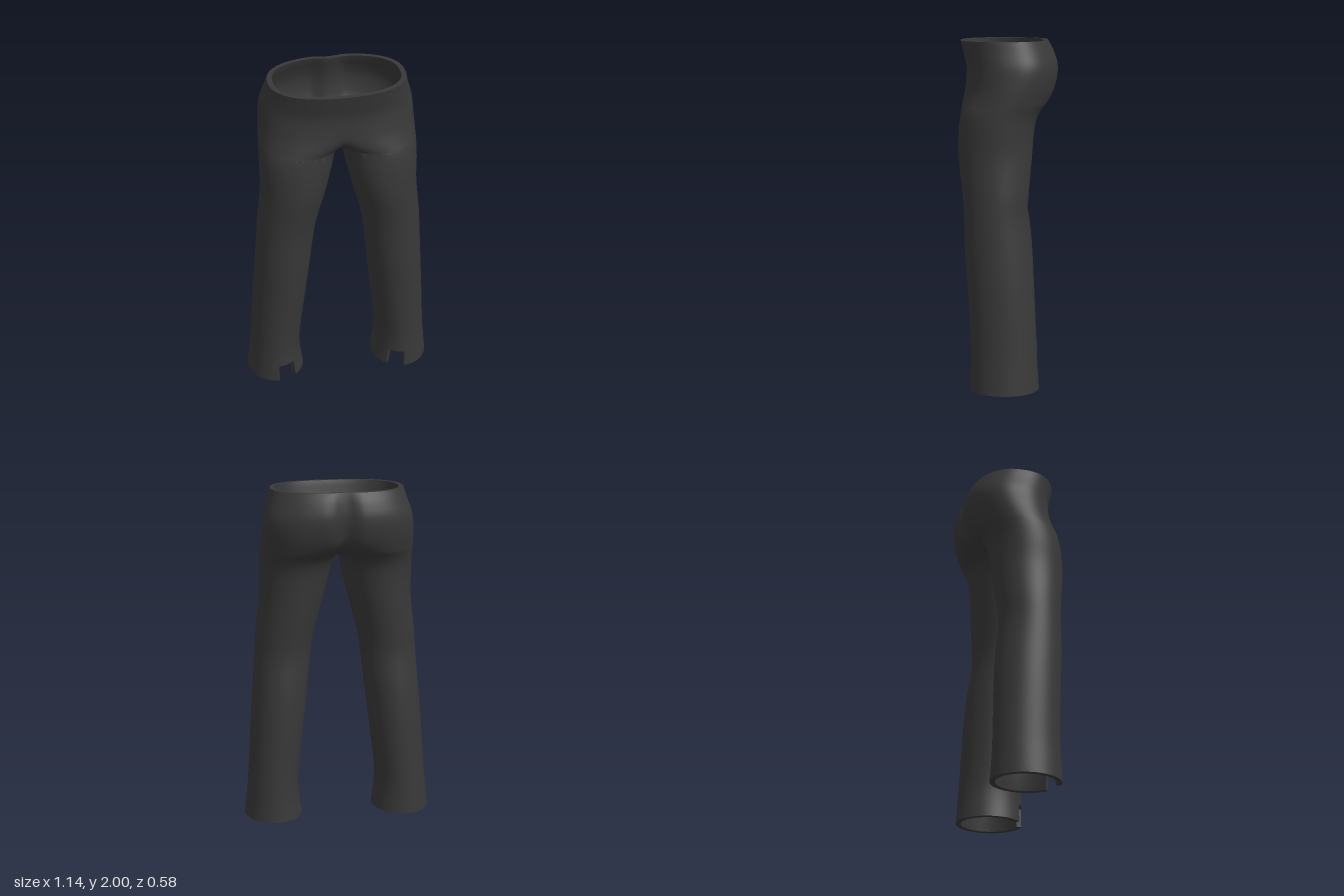
import * as THREE from 'three';
import { mergeVertices, toCreasedNormals } from 'three/addons/utils/BufferGeometryUtils.js';

const CROTCH = 1.61, COLS = 48, THICK = 0.03;

// height, outer x, inner x, front z, back z, depth of the rear centre cleft
// (a negative inner x means both sides have joined over the centre line)
const PROFILE = [
  [0.00, 0.572, 0.222, 0.220, -0.180, 0],
  [0.11, 0.560, 0.238, 0.218, -0.172, 0],
  [0.22, 0.549, 0.243, 0.215, -0.166, 0],
  [0.60, 0.523, 0.200, 0.235, -0.150, 0],
  [0.80, 0.507, 0.177, 0.250, -0.135, 0],
  [1.00, 0.492, 0.155, 0.255, -0.110, 0],
  [1.12, 0.483, 0.135, 0.262, -0.117, 0],
  [1.35, 0.458, 0.074, 0.288, -0.137, 0],
  [1.50, 0.458, 0.037, 0.286, -0.150, 0],
  [1.58, 0.456, 0.018, 0.276, -0.170, 0],
  [1.61, 0.455, 0.000, 0.272, -0.190, 0],
  [1.65, 0.453, -0.090, 0.266, -0.225, 0.015],
  [1.74, 0.447, -0.290, 0.252, -0.272, 0.040],
  [1.85, 0.434, -0.434, 0.248, -0.291, 0.048],
  [1.94, 0.406, -0.406, 0.268, -0.268, 0.035],
  [2.00, 0.390, -0.390, 0.283, -0.237, 0.018],
];

// smooth interpolation through the profile rows
function sample(y) {
  const P = PROFILE, last = P.length - 1;
  let i = 0;
  while (i < last - 1 && y > P[i + 1][0]) i++;
  const slope = (k, c) => {
    const a = P[Math.max(k - 1, 0)], b = P[Math.min(k + 1, last)];
    return (b[c] - a[c]) / (b[0] - a[0]);
  };
  const h = P[i + 1][0] - P[i][0], u = (y - P[i][0]) / h;
  return [1, 2, 3, 4, 5].map((c) =>
    (2 * u ** 3 - 3 * u * u + 1) * P[i][c] + (u ** 3 - 2 * u * u + u) * h * slope(i, c) +
    (3 * u * u - 2 * u ** 3) * P[i + 1][c] + (u ** 3 - u * u) * h * slope(i + 1, c));
}

// one half of the cross-section: from the inner seam over the front, outside and back
function section(y) {
  let [xo, xi, zf, zb, cleft] = sample(y);
  xi = y < CROTCH - 1e-6 ? xi : Math.max(Math.min(xi, 0), -xo);
  const cx = (xo + xi) / 2, rx = (xo - xi) / 2;
  const cz = (zf + zb) / 2, rz = (zf - zb) / 2;
  const n = 2 + 0.4 * THREE.MathUtils.smoothstep(y, CROTCH, 1.85);
  const pow = (v) => Math.sign(v) * Math.abs(v) ** (2 / n);
  const above = y > CROTCH + 1e-6;
  const t0 = above ? Math.acos(-Math.min(1, (cx / rx) ** (n / 2))) : Math.PI;
  const pts = [];
  for (let j = 0; j <= COLS; j++) {
    const t = t0 * (1 - 2 * j / COLS);
    let x = cx + rx * pow(Math.cos(t));
    let z = cz + rz * pow(Math.sin(t));
    const seam = j === 0 || j === COLS;
    if (seam) x = above ? 0 : xi;
    if (seam && !above) z = cz;
    if (above && z < cz) z += cleft * Math.exp(-((x / 0.055) ** 2));
    pts.push([x, y, z]);
  }
  return pts;
}

// outer cloth surface, mirrored, with a notch cut into each front hem
function outerSurface() {
  const heights = [0, 0.04, 0.08, 0.11];
  for (let i = 1; i <= 36; i++) heights.push(0.11 + (CROTCH - 0.11) * i / 36);
  for (let i = 1; i <= 30; i++) heights.push(CROTCH + (2 - CROTCH) * (i / 30) ** 1.6);
  const rows = heights.map(section);
  const pos = [], index = [], w = COLS + 1;
  for (const side of [1, -1]) {
    const base = pos.length / 3;
    for (const row of rows) for (const [x, y, z] of row) pos.push(side * x, y, z);
    for (let r = 0; r < rows.length - 1; r++) {
      for (let j = 0; j < COLS; j++) {
        if (r < 3 && j >= 7 && j < 12) continue; // hem notch
        const a = base + r * w + j, b = a + 1, c = b + w, d = a + w;
        if (side > 0) index.push(a, b, c, a, c, d);
        else index.push(a, c, b, a, d, c);
      }
    }
  }
  const g = new THREE.BufferGeometry();
  g.setAttribute('position', new THREE.Float32BufferAttribute(pos, 3));
  g.setIndex(index);
  const merged = mergeVertices(g, 1e-4);
  merged.computeVertexNormals();
  return merged;
}

// gives the surface a thickness: inner lining plus walls along all open edges
function thicken(outer) {
  const p = outer.attributes.position, n = outer.attributes.normal, count = p.count;
  const pos = Array.from(p.array), tri = Array.from(outer.index.array), index = [...tri];
  for (let i = 0; i < count; i++) {
    const y = p.getY(i), edge = y > 1.999 || y < 0.001;
    pos.push(
      p.getX(i) - n.getX(i) * THICK,
      edge ? y : Math.max(0, y - n.getY(i) * THICK),
      p.getZ(i) - n.getZ(i) * THICK);
  }
  const edges = new Set();
  for (let i = 0; i < tri.length; i += 3) {
    const [a, b, c] = tri.slice(i, i + 3);
    index.push(a + count, c + count, b + count);
    for (const [s, e] of [[a, b], [b, c], [c, a]]) edges.add(s + '_' + e);
  }
  for (const key of edges) {
    const [a, b] = key.split('_').map(Number);
    if (!edges.has(b + '_' + a)) index.push(b, a, a + count, b, a + count, b + count);
  }
  const g = new THREE.BufferGeometry();
  g.setAttribute('position', new THREE.Float32BufferAttribute(pos, 3));
  g.setIndex(index);
  return toCreasedNormals(g, 1.0);
}

export function createModel() {
  const cloth = new THREE.MeshStandardMaterial({ color: 0x383838 });
  cloth.name = 'charcoal cloth';
  const trousers = new THREE.Mesh(thicken(outerSurface()), cloth);
  trousers.name = 'trousers';
  const group = new THREE.Group();
  group.name = 'trousersModel';
  group.add(trousers);
  return group;
}
